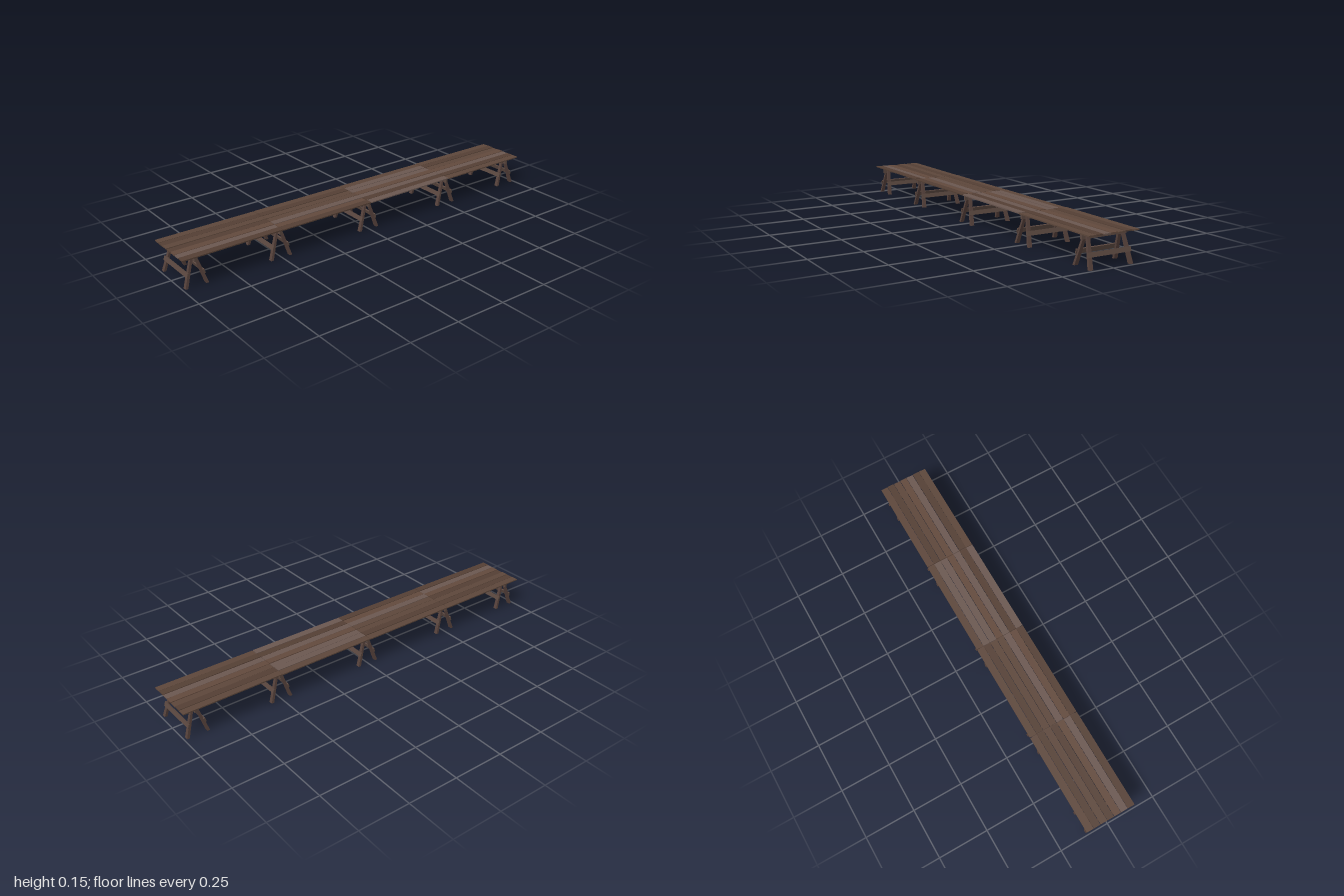
import * as THREE from 'three';

const mat = (color) => new THREE.MeshStandardMaterial({ color, flatShading: true, roughness: 0.9 });
const plankMats = [0x5c463a, 0x6a5750, 0x543f34, 0x62493c].map(mat);
const legMat = mat(0x54403a);
const railMat = mat(0x5a473f);

function box(name, w, h, d, material, x, y, z) {
  const mesh = new THREE.Mesh(new THREE.BoxGeometry(w, h, d), material);
  mesh.name = name;
  mesh.position.set(x, y, z);
  return mesh;
}

// Leg leaning inward both ways, with level-cut ends and a slight taper
const LEG_H = 0.135;
function leg(sx, sz) {
  const geo = new THREE.BoxGeometry(0.019, LEG_H, 0.013);
  const p = geo.attributes.position;
  for (let i = 0; i < p.count; i++) {
    const t = p.getY(i) / LEG_H + 0.5;
    p.setX(i, p.getX(i) * (1 - 0.25 * t) + sx * THREE.MathUtils.lerp(0.1015, 0.0875, t));
    p.setY(i, t * LEG_H);
    p.setZ(i, p.getZ(i) * (1 - 0.1 * t) + sz * THREE.MathUtils.lerp(0.05, 0.008, t));
  }
  geo.computeVertexNormals();
  const mesh = new THREE.Mesh(geo, legMat);
  mesh.name = 'leg';
  return mesh;
}

// A-frame trestle: four splayed legs, a top beam and two low stretchers
function trestle(z) {
  const g = new THREE.Group();
  g.name = 'trestle';
  g.position.z = z;
  g.add(box('topBeam', 0.226, 0.02, 0.012, railMat, 0, 0.127, 0));
  for (const sz of [-1, 1]) {
    for (const sx of [-1, 1]) g.add(leg(sx, sz));
    const bar = box('stretcher', 0.217, 0.021, 0.007, railMat, 0, 0.059, sz * 0.039);
    bar.rotation.x = -sz * 0.3;
    g.add(bar);
  }
  return g;
}

export function createModel() {
  const model = new THREE.Group();
  model.name = 'longTrestleTable';

  for (const z of [-0.932, -0.5, 0, 0.503, 0.932]) model.add(trestle(z));

  // Tabletop: four sections of seven loose planks at slightly uneven heights
  const top = new THREE.Group();
  top.name = 'tabletop';
  const pitch = 0.254 / 7;
  const tones = ['0203120', '0113121', '0200132', '0202312'];
  const lift = [0, 0.0006, -0.0008, 0.0004, -0.0004, 0.0011, 0];
  for (let s = 0; s < 4; s++) {
    for (let i = 0; i < 7; i++) {
      const y = 0.1435 + lift[(i + s * 2) % 7];
      const plank = box('plank', pitch - 0.0022, 0.0055, 0.497,
        plankMats[+tones[s][i]], (i - 3) * pitch, y, -0.75 + s * 0.5);
      // outermost planks meet the full width and the ends of the table
      if (i === 0 || i === 6) plank.scale.x = 1.03;
      if (s === 0 || s === 3) { plank.scale.z = 1.003; plank.position.z += s ? 0.0008 : -0.0008; }
      plank.rotation.x = (((i * 3 + s * 5) % 5) - 2) * 0.0012;
      top.add(plank);
    }
  }
  model.add(top);
  return model;
}
